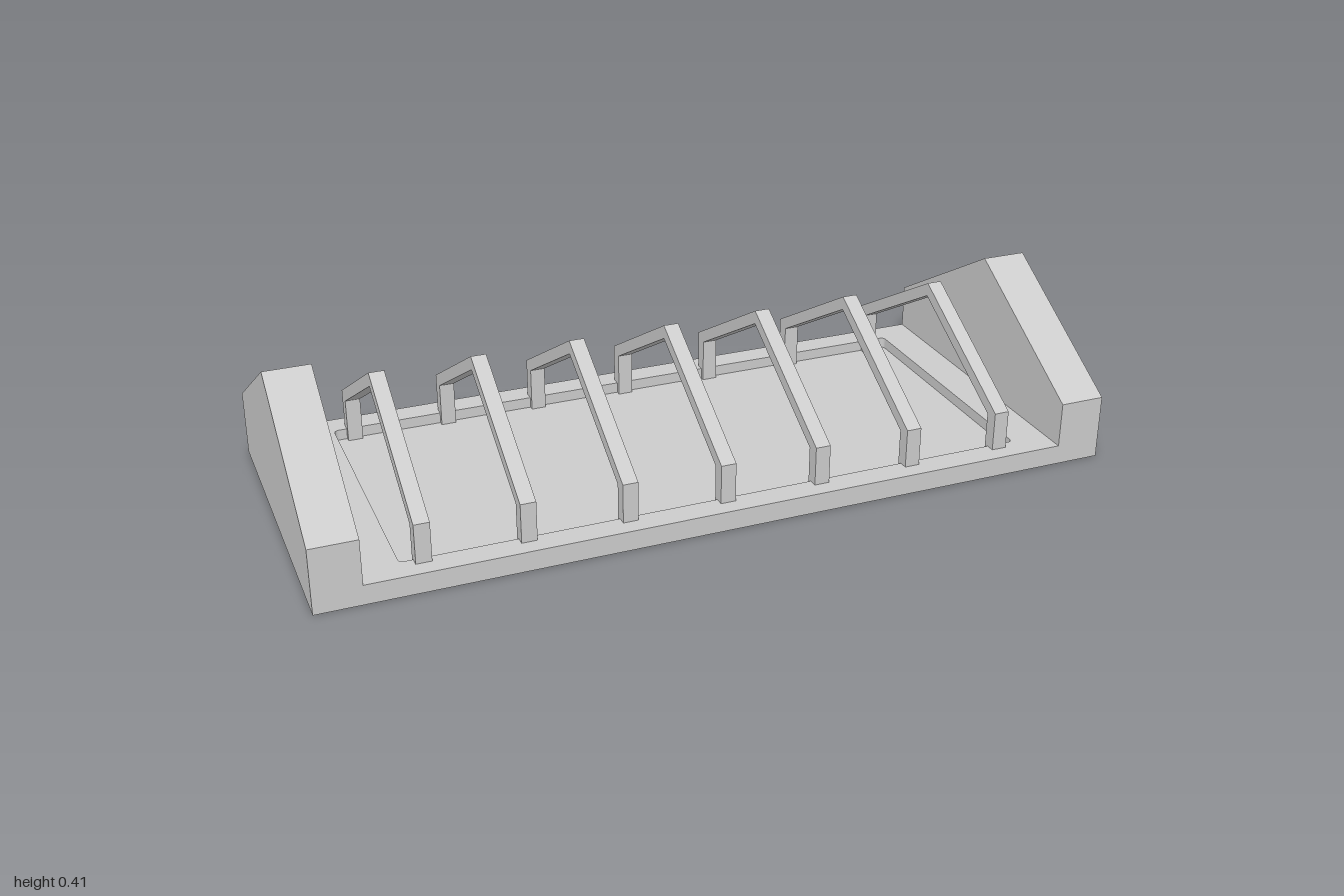
import * as THREE from 'three';

const material = new THREE.MeshStandardMaterial({ color: 0xcccccc, flatShading: true });

// Extrude a (z, y) outline across x, centred on x
function acrossX(points, width, x, name) {
  const shape = new THREE.Shape(points.map(([z, y]) => new THREE.Vector2(-z, y)));
  const geo = new THREE.ExtrudeGeometry(shape, { depth: width, bevelEnabled: false });
  geo.translate(0, 0, -width / 2);
  geo.rotateY(Math.PI / 2);
  const mesh = new THREE.Mesh(geo, material);
  mesh.name = name;
  mesh.position.x = x;
  return mesh;
}

// Rectangle with small rounded corners
function roundedRect(path, w, h, r) {
  path.absarc(w - r, h - r, r, 0, Math.PI / 2);
  path.absarc(-w + r, h - r, r, Math.PI / 2, Math.PI);
  path.absarc(-w + r, -h + r, r, Math.PI, Math.PI * 1.5);
  path.absarc(w - r, -h + r, r, Math.PI * 1.5, Math.PI * 2);
  path.closePath();
  return path;
}

export function createModel() {
  const model = new THREE.Group();
  model.name = 'rack';
  const depth = 0.41, innerX = 0.885, floorY = 0.022, rimY = 0.05;

  // Tray floor
  const floor = new THREE.Mesh(new THREE.BoxGeometry(innerX * 2, floorY, depth * 2), material);
  floor.name = 'trayFloor';
  floor.position.y = floorY / 2;
  model.add(floor);

  // Rim around the shallow recess
  const rim = new THREE.Shape();
  rim.moveTo(-innerX, -depth).lineTo(innerX, -depth).lineTo(innerX, depth).lineTo(-innerX, depth);
  rim.closePath();
  rim.holes.push(roundedRect(new THREE.Path(), 0.79, 0.345, 0.012));
  const rimGeo = new THREE.ExtrudeGeometry(rim, { depth: rimY - floorY, bevelEnabled: false, curveSegments: 4 });
  rimGeo.rotateX(-Math.PI / 2);
  const rimMesh = new THREE.Mesh(rimGeo, material);
  rimMesh.name = 'trayRim';
  rimMesh.position.y = floorY;
  model.add(rimMesh);

  // Solid gabled end blocks
  const gable = [[-depth, 0], [depth, 0], [depth, 0.165], [0, 0.405], [-depth, 0.165]];
  for (const side of [-1, 1]) {
    model.add(acrossX(gable, 1 - innerX, side * (1 + innerX) / 2, side > 0 ? 'leftEndBlock' : 'rightEndBlock'));
  }

  // Open gabled ribs: two short legs and two rafters in one outline
  const outer = 0.367, inner = 0.332, eave = 0.15, apex = 0.36, drop = 0.035;
  const innerEave = apex - drop - (apex - eave) * inner / outer;
  const rib = [
    [-outer, floorY], [-inner, floorY], [-inner, innerEave], [0, apex - drop],
    [inner, innerEave], [inner, floorY], [outer, floorY], [outer, eave], [0, apex], [-outer, eave],
  ];
  for (let i = -3; i <= 3; i++) model.add(acrossX(rib, 0.038, i * 0.246, 'rib' + (i + 4)));

  return model;
}
